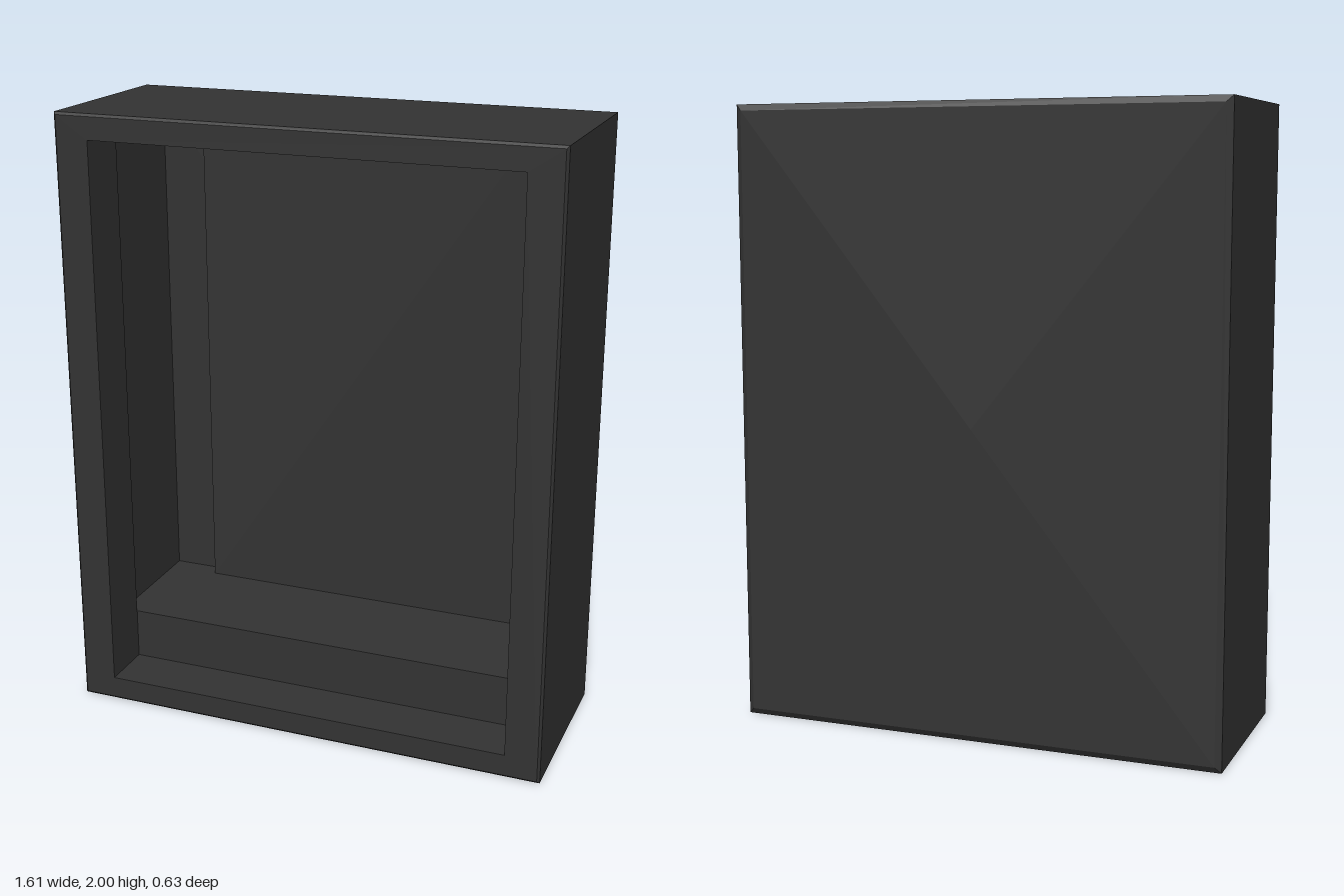
import * as THREE from 'three';

const material = new THREE.MeshStandardMaterial({ color: 0x333333 });

// Skin over rectangular rings [half width, bottom, top, z], flat shaded
function loftRectangles(rings) {
  const corners = rings.map(([w, y0, y1, z]) => [[-w, y0, z], [w, y0, z], [w, y1, z], [-w, y1, z]]);
  const points = [];
  for (let r = 0; r < corners.length - 1; r++) {
    const a = corners[r], b = corners[r + 1];
    for (let i = 0; i < 4; i++) {
      const j = (i + 1) % 4;
      // skip the collapsed triangle where a ring is a single point
      if (rings[r][0] > 0) points.push(...a[i], ...a[j], ...b[j]);
      if (rings[r + 1][0] > 0) points.push(...a[i], ...b[j], ...b[i]);
    }
  }
  const geometry = new THREE.BufferGeometry();
  geometry.setAttribute('position', new THREE.Float32BufferAttribute(points, 3));
  geometry.computeVertexNormals();
  return geometry;
}

function block(name, x0, x1, y0, y1, z0, z1) {
  const mesh = new THREE.Mesh(new THREE.BoxGeometry(x1 - x0, y1 - y0, z1 - z0), material);
  mesh.position.set((x0 + x1) / 2, (y0 + y1) / 2, (z0 + z1) / 2);
  mesh.name = name;
  return mesh;
}

export function createModel() {
  const group = new THREE.Group();
  group.name = 'openCabinet';

  // Hollow case: chamfered back, sides, front lip, then the wider interior
  const cabinet = new THREE.Mesh(loftRectangles([
    [0, 1, 1, -0.315],
    [0.785, 0.02, 1.98, -0.315],
    [0.805, 0, 2, -0.303],
    [0.805, 0, 2, 0.307],
    [0.797, 0.008, 1.992, 0.315],
    [0.69, 0.08, 1.92, 0.315],
    [0.69, 0.08, 1.92, 0.135],
    [0.74, 0.05, 1.95, 0.135],
    [0.74, 0.05, 1.95, -0.295],
    [0, 1, 1, -0.295],
  ]), material);
  cabinet.name = 'cabinetShell';
  group.add(cabinet);

  // Raised step on the floor, just behind the lip
  group.add(block('floorLedge', -0.74, 0.74, 0.05, 0.25, -0.295, 0.134));

  // Raised panel on the inner back wall
  group.add(block('backPanel', -0.57, 0.57, 0.25, 1.95, -0.295, -0.245));

  return group;
}
